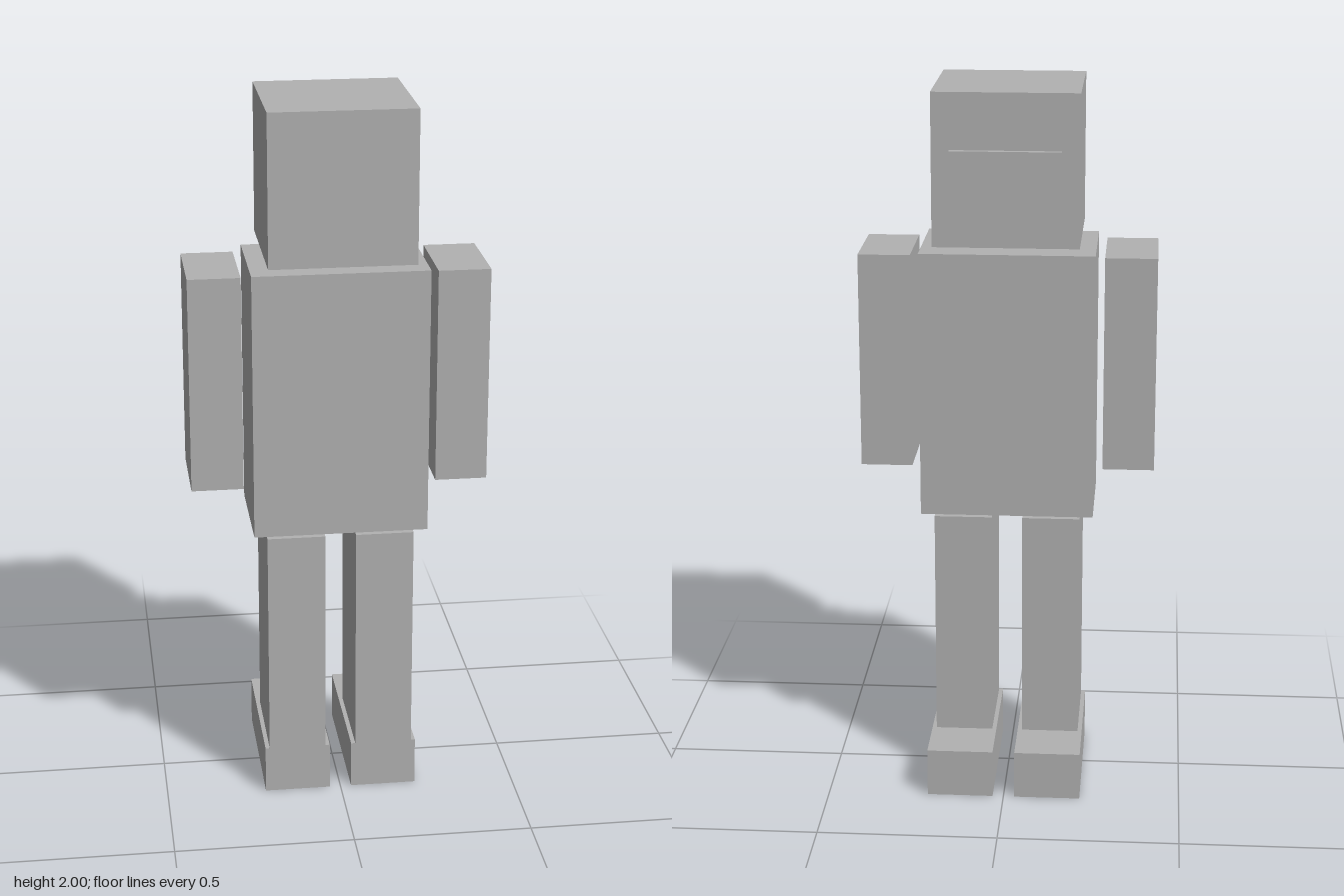
import * as THREE from 'three';

export function createModel() {
  const model = new THREE.Group();
  model.name = 'blockFigure';
  const grey = new THREE.MeshStandardMaterial({ color: 0xb2b2b2 });
  grey.name = 'plain grey';

  // A box given by its limits along each axis
  function block(name, [x0, x1], [y0, y1], [z0, z1]) {
    const mesh = new THREE.Mesh(new THREE.BoxGeometry(x1 - x0, y1 - y0, z1 - z0), grey);
    mesh.position.set((x0 + x1) / 2, (y0 + y1) / 2, (z0 + z1) / 2);
    mesh.name = name;
    model.add(mesh);
  }

  // The same box on both sides of the body
  function pair(name, [x0, x1], y, z) {
    block('left' + name, [x0, x1], y, z);
    block('right' + name, [-x1, -x0], y, z);
  }

  // Head with a raised plate on its back
  block('head', [-0.2, 0.2], [1.58, 2], [-0.144, 0.244]);
  block('headPlate', [-0.151, 0.151], [1.737, 1.845], [-0.161, -0.144]);

  // Body
  block('torso', [-0.242, 0.242], [0.802, 1.552], [-0.106, 0.208]);

  // Limbs; the feet reach backwards
  pair('Arm', [0.267, 0.411], [0.936, 1.541], [-0.077, 0.177]);
  pair('Leg', [0.043, 0.205], [0.137, 0.79], [-0.09, 0.197]);
  pair('Foot', [0.031, 0.217], [0, 0.137], [-0.247, 0.197]);

  return model;
}
